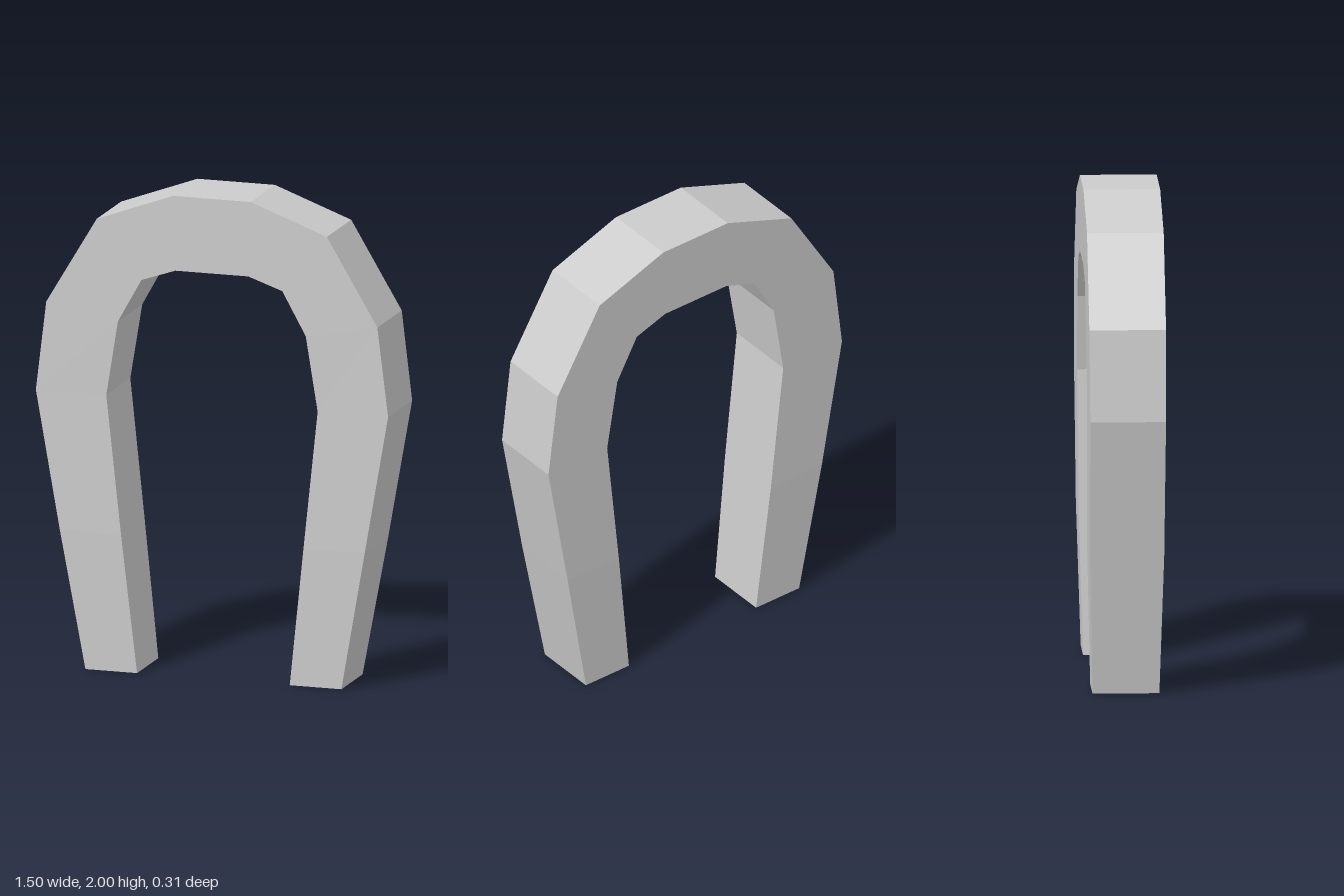
import * as THREE from 'three';

// Half of the arch, foot to crown: outer x, outer y, inner x, inner y, half depth
const HALF = [
  [0.545, 0, 0.325, 0, 0.135],
  [0.65, 0.58, 0.388, 0.57, 0.15],
  [0.75, 1.15, 0.45, 1.15, 0.153],
  [0.705, 1.52, 0.4, 1.46, 0.155],
  [0.49, 1.88, 0.3, 1.64, 0.155],
  [0.165, 2, 0.155, 1.69, 0.155],
];

function archGeometry() {
  // Mirror the half to get sections running from the left foot to the right foot
  const mirrored = HALF.map(([ox, oy, ix, iy, d]) => [-ox, oy, -ix, iy, d]).reverse();
  const sections = [...HALF, ...mirrored];

  // Four corners per section: outer front, outer back, inner back, inner front
  const positions = [];
  for (const [ox, oy, ix, iy, d] of sections) {
    positions.push(ox, oy, d, ox, oy, -d, ix, iy, -d, ix, iy, d);
  }

  // Join neighbouring sections with quads
  const index = [];
  for (let i = 0; i < sections.length - 1; i++) {
    for (let k = 0; k < 4; k++) {
      const a = i * 4 + k, b = i * 4 + (k + 1) % 4;
      index.push(a, b, b + 4, a, b + 4, a + 4);
    }
  }

  // Close both feet
  const e = (sections.length - 1) * 4;
  index.push(0, 2, 1, 0, 3, 2, e, e + 1, e + 2, e, e + 2, e + 3);

  const indexed = new THREE.BufferGeometry();
  indexed.setAttribute('position', new THREE.Float32BufferAttribute(positions, 3));
  indexed.setIndex(index);
  const geometry = indexed.toNonIndexed();
  geometry.computeVertexNormals();
  return geometry;
}

export function createModel() {
  const group = new THREE.Group();
  group.name = 'horseshoeArch';
  const material = new THREE.MeshStandardMaterial({ color: 0xcccccc, flatShading: true });
  const arch = new THREE.Mesh(archGeometry(), material);
  arch.name = 'arch';
  group.add(arch);
  return group;
}
